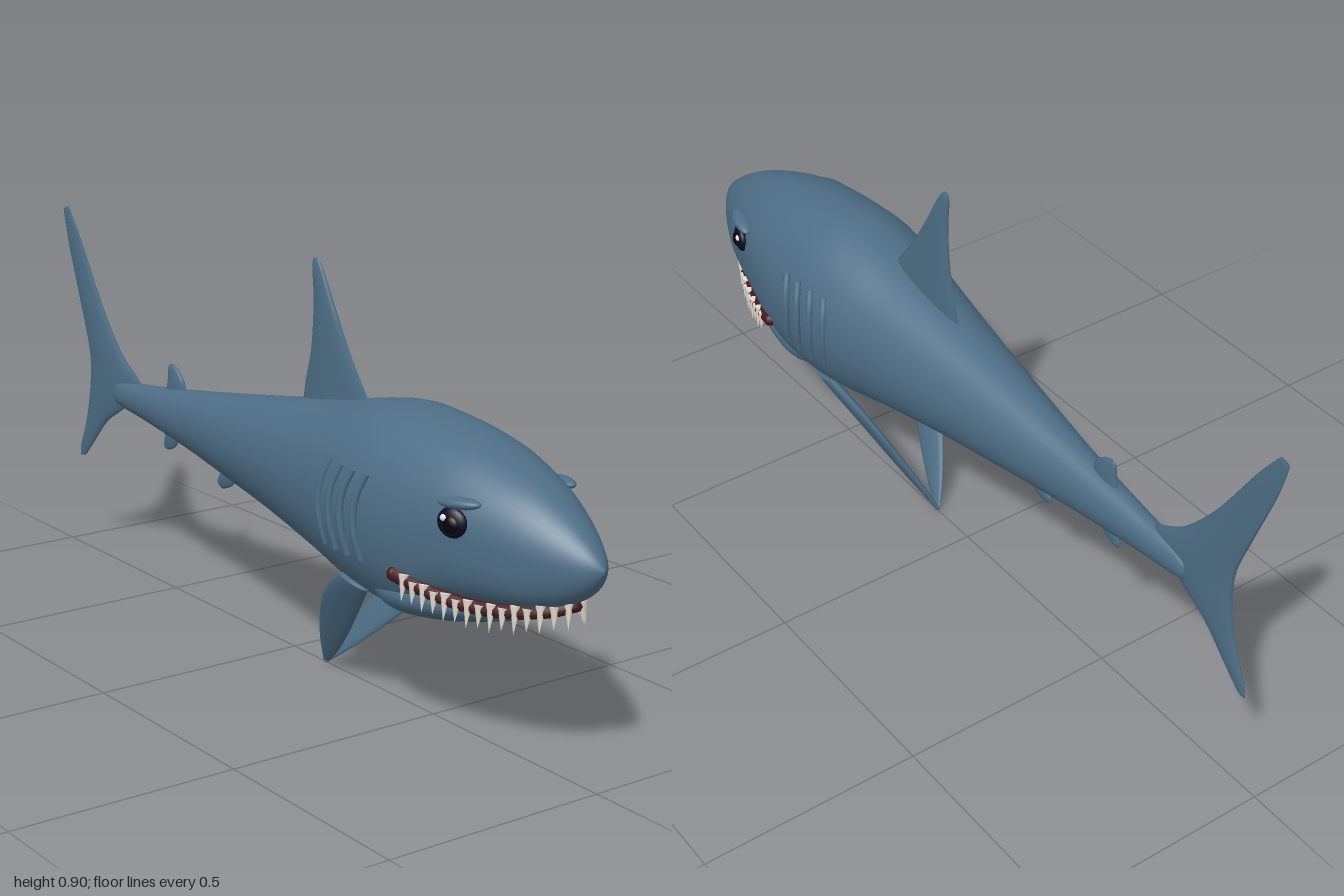
import * as THREE from 'three';

const mat = (name, color) => {
  const m = new THREE.MeshStandardMaterial({ color });
  m.name = name;
  return m;
};

// Smoothly resample rows of numbers, keeping every given row
function resample(rows, steps) {
  const out = [];
  for (let i = 0; i < rows.length - 1; i++) {
    const a = rows[Math.max(i - 1, 0)], b = rows[i], c = rows[i + 1];
    const d = rows[Math.min(i + 2, rows.length - 1)];
    for (let s = 0; s < steps; s++) {
      const t = s / steps;
      out.push(b.map((v, k) => {
        const slope = c[k] - a[k];
        const bend = 2 * a[k] - 5 * v + 4 * c[k] - d[k];
        const twist = 3 * (v - c[k]) + d[k] - a[k];
        return v + 0.5 * t * (slope + t * (bend + t * twist));
      }));
    }
  }
  out.push(rows[rows.length - 1]);
  return out;
}

// Skin closed rings of points, closing both ends on their centres
function loft(rings) {
  const n = rings[0].length;
  const cap = (r) => {
    const c = new THREE.Vector3();
    r.forEach((p) => c.addScaledVector(p, 1 / n));
    return r.map(() => c);
  };
  const all = [cap(rings[0]), ...rings, cap(rings[rings.length - 1])];
  const index = [];
  for (let i = 0; i < all.length - 1; i++) {
    for (let j = 0; j < n; j++) {
      const a = i * n + j, b = i * n + (j + 1) % n;
      index.push(a, a + n, b, b, a + n, b + n);
    }
  }
  const g = new THREE.BufferGeometry().setFromPoints(all.flat());
  g.setIndex(index);
  g.computeVertexNormals();
  return g;
}

// Body rows: x, top, bottom, half width, squareness of the underside
function bodyGeometry(rows) {
  return loft(resample(rows, 5).map(([x, top, bottom, w, n]) => {
    const c = (top + bottom) / 2, h = (top - bottom) / 2;
    return Array.from({ length: 40 }, (_, j) => {
      const a = (j / 40) * Math.PI * 2, e = Math.sin(a) < 0 ? 2 / n : 1;
      const y = Math.sign(Math.sin(a)) * Math.abs(Math.sin(a)) ** e;
      const z = Math.sign(Math.cos(a)) * Math.abs(Math.cos(a)) ** e;
      return new THREE.Vector3(x, c + y * h, z * w);
    });
  }));
}

// Fin rows, bottom to top: front x, y, back x, y, half thickness; lean tilts it sideways
function finGeometry(rows, lean = 0) {
  return loft(resample(rows, 5).map(([px, py, qx, qy, th]) =>
    Array.from({ length: 16 }, (_, j) => {
      const a = (j / 16) * Math.PI * 2, k = Math.cos(a) / 2;
      const y = (py + qy) / 2 + (py - qy) * k;
      return new THREE.Vector3((px + qx) / 2 + (px - qx) * k, y, th * Math.sin(a) + lean * (y - 0.01));
    })));
}

export function createModel() {
  const group = new THREE.Group();
  const skin = mat('blue skin', 0x4d6d85);
  const gum = mat('dark red gum', 0x48191f);
  const ivory = mat('ivory tooth', 0xe6e0d0);
  const navy = mat('navy eye', 0x0b0b22);
  const black = mat('black pupil', 0x040408);
  const white = mat('white glint', 0xffffff);
  const add = (name, geometry, material) => {
    const m = new THREE.Mesh(geometry, material);
    m.name = name;
    group.add(m);
    return m;
  };

  // Body and lower jaw
  add('body', bodyGeometry([
    [-0.755, 0.452, 0.428, 0.008, 2], [-0.735, 0.474, 0.412, 0.021, 2], [-0.6, 0.489, 0.398, 0.034, 2],
    [-0.4, 0.517, 0.372, 0.055, 2], [-0.2, 0.549, 0.342, 0.084, 2], [0, 0.583, 0.31, 0.114, 2],
    [0.2, 0.62, 0.274, 0.148, 2.1], [0.32, 0.646, 0.25, 0.169, 2.2], [0.42, 0.662, 0.238, 0.178, 2.3],
    [0.52, 0.658, 0.243, 0.176, 2.5], [0.6, 0.648, 0.272, 0.168, 2.8], [0.68, 0.632, 0.312, 0.153, 3],
    [0.76, 0.607, 0.328, 0.132, 3], [0.84, 0.575, 0.338, 0.105, 2.9], [0.91, 0.535, 0.36, 0.073, 2.6],
    [0.96, 0.498, 0.392, 0.043, 2.3], [0.985, 0.474, 0.42, 0.022, 2], [1, 0.453, 0.445, 0.003, 2],
  ]), skin);
  add('lowerJaw', bodyGeometry([
    [0.4, 0.36, 0.275, 0.11, 2], [0.5, 0.365, 0.242, 0.145, 2.1], [0.6, 0.365, 0.25, 0.142, 2.1],
    [0.7, 0.35, 0.272, 0.11, 2.1], [0.8, 0.345, 0.302, 0.065, 2], [0.86, 0.345, 0.33, 0.02, 2],
  ]), skin);

  // Fins along the centre line
  add('dorsalFin', finGeometry([
    [0.3, 0.58, 0.03, 0.57, 0.013], [0.26, 0.64, 0.042, 0.63, 0.012], [0.2, 0.72, 0.063, 0.71, 0.011],
    [0.145, 0.81, 0.072, 0.81, 0.009], [0.105, 0.88, 0.067, 0.88, 0.006], [0.085, 0.903, 0.07, 0.903, 0.002],
  ]), skin);
  add('tailFin', finGeometry([
    [-0.92, 0.245, -0.945, 0.24, 0.003], [-0.88, 0.285, -0.94, 0.27, 0.006], [-0.81, 0.355, -0.91, 0.34, 0.009],
    [-0.72, 0.41, -0.893, 0.41, 0.011], [-0.64, 0.475, -0.885, 0.47, 0.012], [-0.73, 0.54, -0.89, 0.54, 0.011],
    [-0.82, 0.645, -0.925, 0.64, 0.009], [-0.92, 0.8, -0.977, 0.78, 0.006], [-0.975, 0.875, -1, 0.865, 0.003],
  ]), skin);
  add('rearUpperFin', finGeometry([
    [-0.445, 0.49, -0.53, 0.48, 0.01], [-0.45, 0.525, -0.52, 0.52, 0.009], [-0.475, 0.55, -0.517, 0.55, 0.006],
    [-0.495, 0.56, -0.51, 0.56, 0.002],
  ]), skin);
  add('rearLowerFin', finGeometry([
    [-0.52, 0.347, -0.535, 0.347, 0.002], [-0.492, 0.36, -0.542, 0.357, 0.006], [-0.477, 0.385, -0.535, 0.382, 0.009],
    [-0.47, 0.42, -0.53, 0.41, 0.01],
  ]), skin);
  add('analFin', finGeometry([
    [-0.285, 0.306, -0.3, 0.308, 0.002], [-0.25, 0.32, -0.31, 0.32, 0.007], [-0.23, 0.345, -0.295, 0.343, 0.01],
    [-0.22, 0.375, -0.28, 0.37, 0.01],
  ]), skin);

  // Paired fins, gills and eyes
  for (const s of [1, -1]) {
    const side = s > 0 ? 'right' : 'left';
    add(side + 'PectoralFin', finGeometry([
      [0.125, 0.004, 0.112, 0.01, 0.004], [0.18, 0.045, 0.135, 0.065, 0.008], [0.25, 0.105, 0.175, 0.135, 0.011],
      [0.335, 0.185, 0.235, 0.215, 0.013], [0.4, 0.25, 0.305, 0.272, 0.014], [0.43, 0.28, 0.35, 0.3, 0.012],
    ], s * 0.45), skin);

    for (const [i, x] of [0.33, 0.375, 0.42, 0.465].entries()) {
      const inset = [0.012, 0.005, 0, 0][i];
      const path = new THREE.CatmullRomCurve3([
        [0.012, 0.545, 0.163], [-0.002, 0.5, 0.177], [-0.006, 0.455, 0.182], [-0.002, 0.41, 0.18], [0.006, 0.365, 0.17],
      ].map(([dx, y, z]) => new THREE.Vector3(x + dx, y, s * (z - inset))));
      add(side + 'Gill', new THREE.TubeGeometry(path, 16, 0.008, 8), skin);
    }

    const ball = (name, material, p, r, tilt = 0) => {
      const m = add(side + name, new THREE.SphereGeometry(1, 20, 14), material);
      m.position.set(p[0], p[1], s * p[2]);
      m.scale.set(...r);
      m.rotation.set(0, s * 0.28, tilt);
    };
    ball('Eye', navy, [0.722, 0.502, 0.141], [0.034, 0.031, 0.014]);
    ball('Pupil', black, [0.727, 0.5, 0.148], [0.018, 0.018, 0.01]);
    ball('EyeGlint', white, [0.712, 0.512, 0.155], [0.008, 0.007, 0.005]);
    ball('Brow', skin, [0.73, 0.541, 0.131], [0.05, 0.012, 0.019], 0.08);
  }

  // Gum running round the snout
  const half = [[0.57, 0.362, 0.163], [0.66, 0.343, 0.14], [0.75, 0.333, 0.107], [0.84, 0.34, 0.068], [0.895, 0.352, 0.032]];
  const mouth = new THREE.CatmullRomCurve3([
    ...half, [0.917, 0.362, 0], ...half.slice().reverse().map(([x, y, z]) => [x, y, -z]),
  ].map((p) => new THREE.Vector3(...p)));
  const gumMesh = add('gum', new THREE.TubeGeometry(mouth, 80, 0.015, 10), gum);
  for (const t of [0, 1]) {
    const end = new THREE.Mesh(new THREE.SphereGeometry(0.015, 12, 8), gum);
    end.name = 'gumEnd';
    end.position.copy(mouth.getPointAt(t));
    gumMesh.add(end);
  }

  // Row of pointed teeth hanging from the gum
  const toothGeometry = new THREE.ConeGeometry(0.011, 0.054, 8);
  toothGeometry.rotateX(Math.PI);
  const down = new THREE.Vector3(0, -1, 0);
  const count = 30;
  for (let i = 0; i < count; i++) {
    const t = 0.04 + (0.92 * i) / (count - 1);
    const p = mouth.getPointAt(t), d = mouth.getTangentAt(t);
    const out = new THREE.Vector3(-d.z, 0, d.x).normalize();
    if (out.x < 0) out.negate();
    const tooth = add('tooth', toothGeometry, ivory);
    tooth.position.copy(p).addScaledVector(out, 0.011);
    tooth.position.y -= 0.014;
    tooth.scale.y = i % 2 ? 0.85 : 1.05;
    tooth.quaternion.setFromUnitVectors(down, down.clone().addScaledVector(out, 0.15).normalize());
  }
  return group;
}
